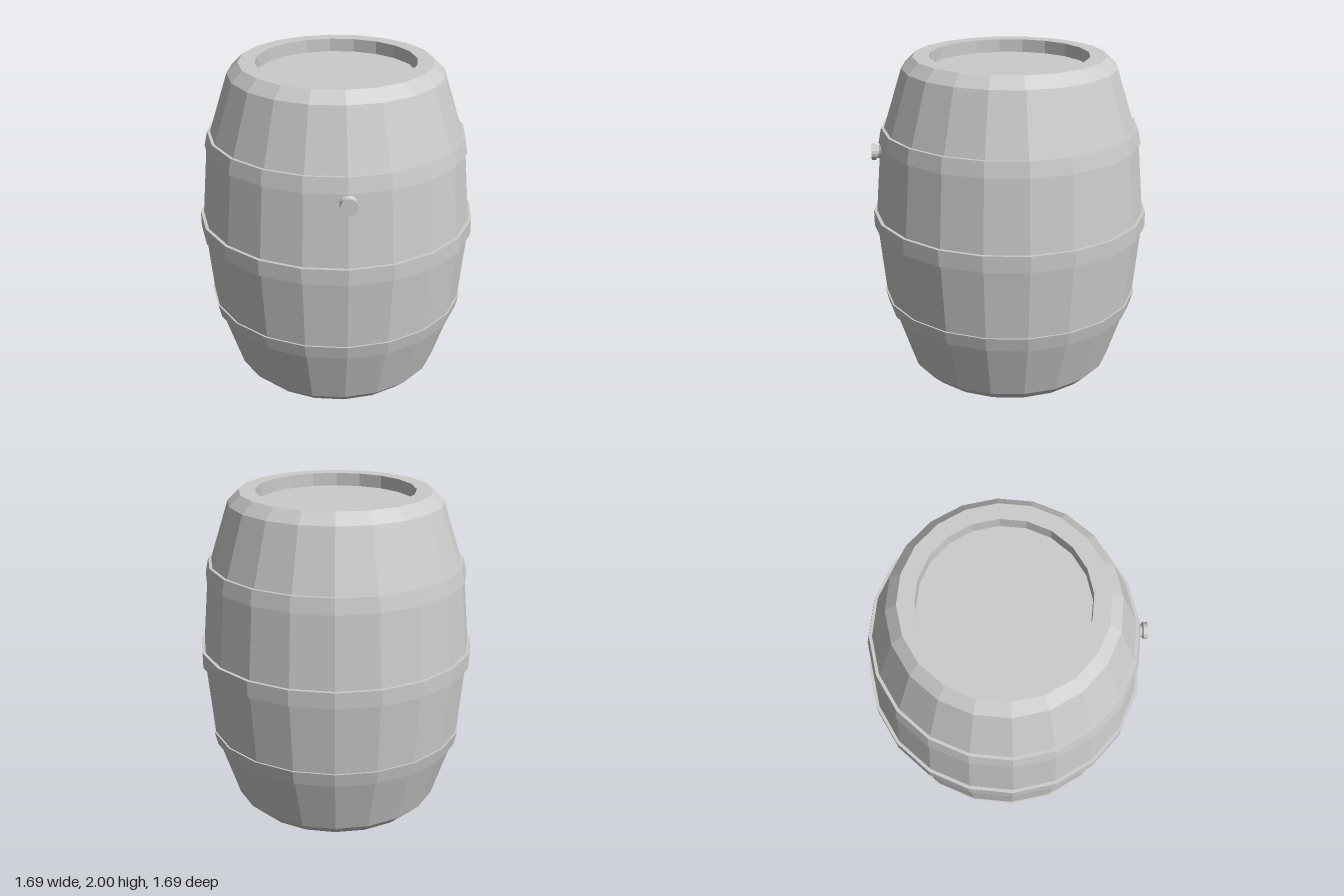
import * as THREE from 'three';

const SIDES = 20;

// Revolves a profile of [radius, height] pairs, listed from the bottom up along the outside
function lathe(name, profile, sides = SIDES) {
  const points = profile.map(([r, y]) => new THREE.Vector2(r, y));
  const material = new THREE.MeshStandardMaterial({ color: 0xcccccc, flatShading: true });
  const mesh = new THREE.Mesh(new THREE.LatheGeometry(points, sides), material);
  mesh.name = name;
  return mesh;
}

// Metal band: outer radii at its lower and upper edges, inner edges sunk into the staves
function hoop(name, y0, r0, y1, r1) {
  const sink = 0.05;
  return lathe(name, [[r0 - sink, y0], [r0, y0], [r1, y1], [r1 - sink, y1]]);
}

export function createModel() {
  const group = new THREE.Group();
  group.name = 'barrel';

  // Staves and recessed heads: lower half of the profile, mirrored for the upper half
  const half = [[0, 0.08], [0.48, 0.08], [0.48, 0], [0.578, 0], [0.645, 0.065], [0.785, 0.5]];
  const upper = half.map(([r, y]) => [r, 2 - y]).reverse();
  group.add(lathe('body', [...half, [0.83, 1], ...upper]));

  // Hoops
  group.add(hoop('lowerHoop', 0.43, 0.777, 0.518, 0.797));
  group.add(hoop('middleHoop', 0.955, 0.845, 1.053, 0.845));
  group.add(hoop('upperHoop', 1.487, 0.797, 1.578, 0.778));

  // Bung on the front, with a narrow waist
  const bung = lathe('bung', [
    [0.05, 0], [0.05, 0.03], [0.038, 0.045], [0.038, 0.055], [0.05, 0.065], [0.05, 0.09], [0, 0.09],
  ], 16);
  bung.rotation.x = Math.PI / 2;
  bung.position.set(0, 1.43, 0.752);
  group.add(bung);

  return group;
}
